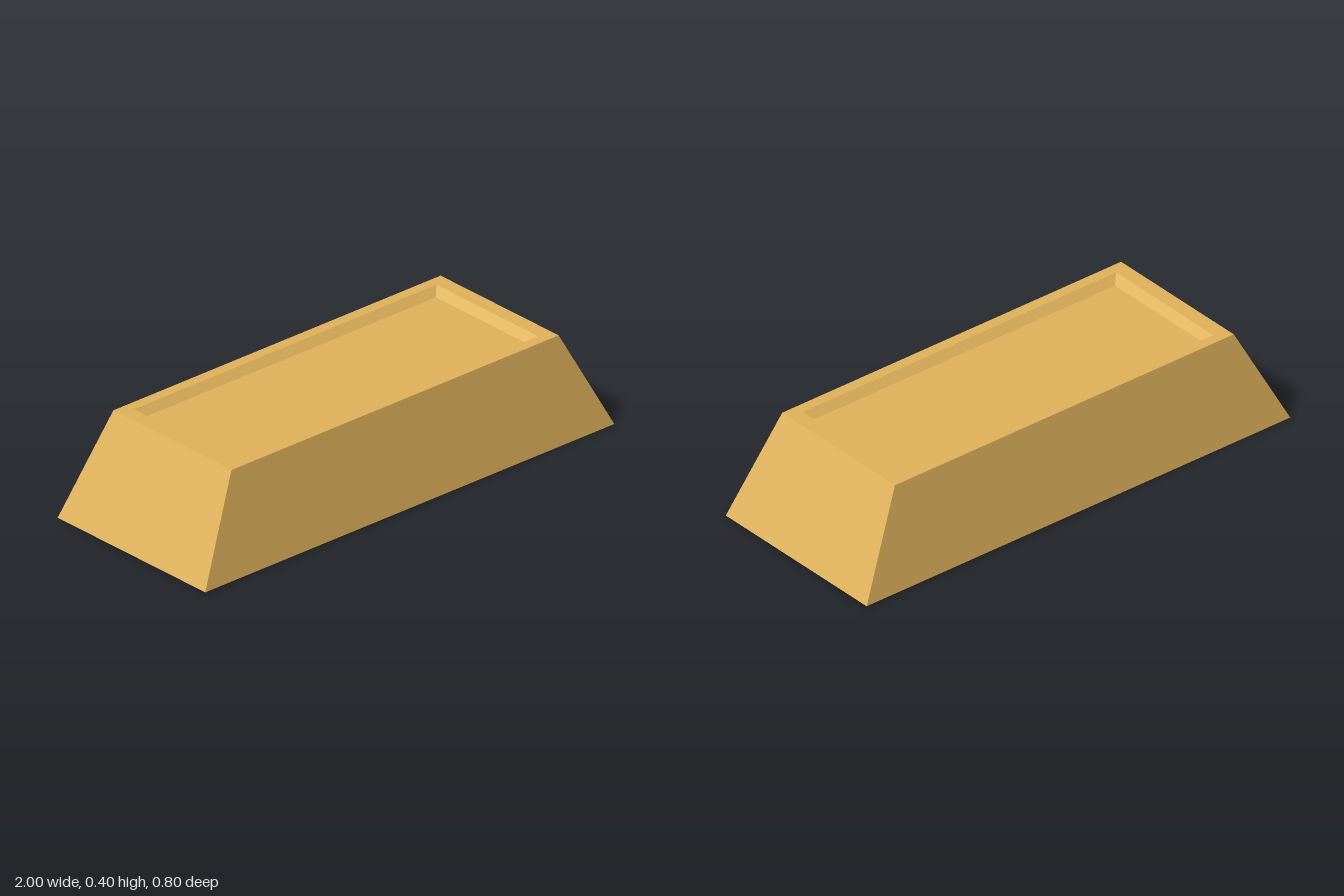
import * as THREE from 'three';

// Corners of a level rectangle, counter-clockwise seen from above
const ring = (x, y, z) => [[-x, y, z], [x, y, z], [x, y, -z], [-x, y, -z]];

// Flat-faced geometry from quads, each given as four corners
function quads(list) {
  const positions = list.flatMap(([a, b, c, d]) => [a, b, c, a, c, d]).flat();
  const geometry = new THREE.BufferGeometry();
  geometry.setAttribute('position', new THREE.Float32BufferAttribute(positions, 3));
  geometry.computeVertexNormals();
  return geometry;
}

// Band of four quads joining one rectangle to the next
const band = (from, to) => from.map((p, i) => {
  const j = (i + 1) % 4;
  return [p, from[j], to[j], to[i]];
});

export function createModel() {
  const gold = new THREE.MeshStandardMaterial({ color: 0xdfb25b });
  gold.name = 'gold';

  const base = ring(1, 0, 0.4);
  const top = ring(0.8, 0.4, 0.32);
  const lip = ring(0.74, 0.4, 0.276);
  const floor = ring(0.71, 0.37, 0.247);

  const parts = {
    underside: [[...base].reverse()],
    slopingSides: band(base, top),
    topRim: band(top, lip),
    recessWalls: band(lip, floor),
    recessFloor: [floor],
  };

  const ingot = new THREE.Group();
  ingot.name = 'ingot';
  for (const [name, faces] of Object.entries(parts)) {
    const mesh = new THREE.Mesh(quads(faces), gold);
    mesh.name = name;
    ingot.add(mesh);
  }
  return ingot;
}
